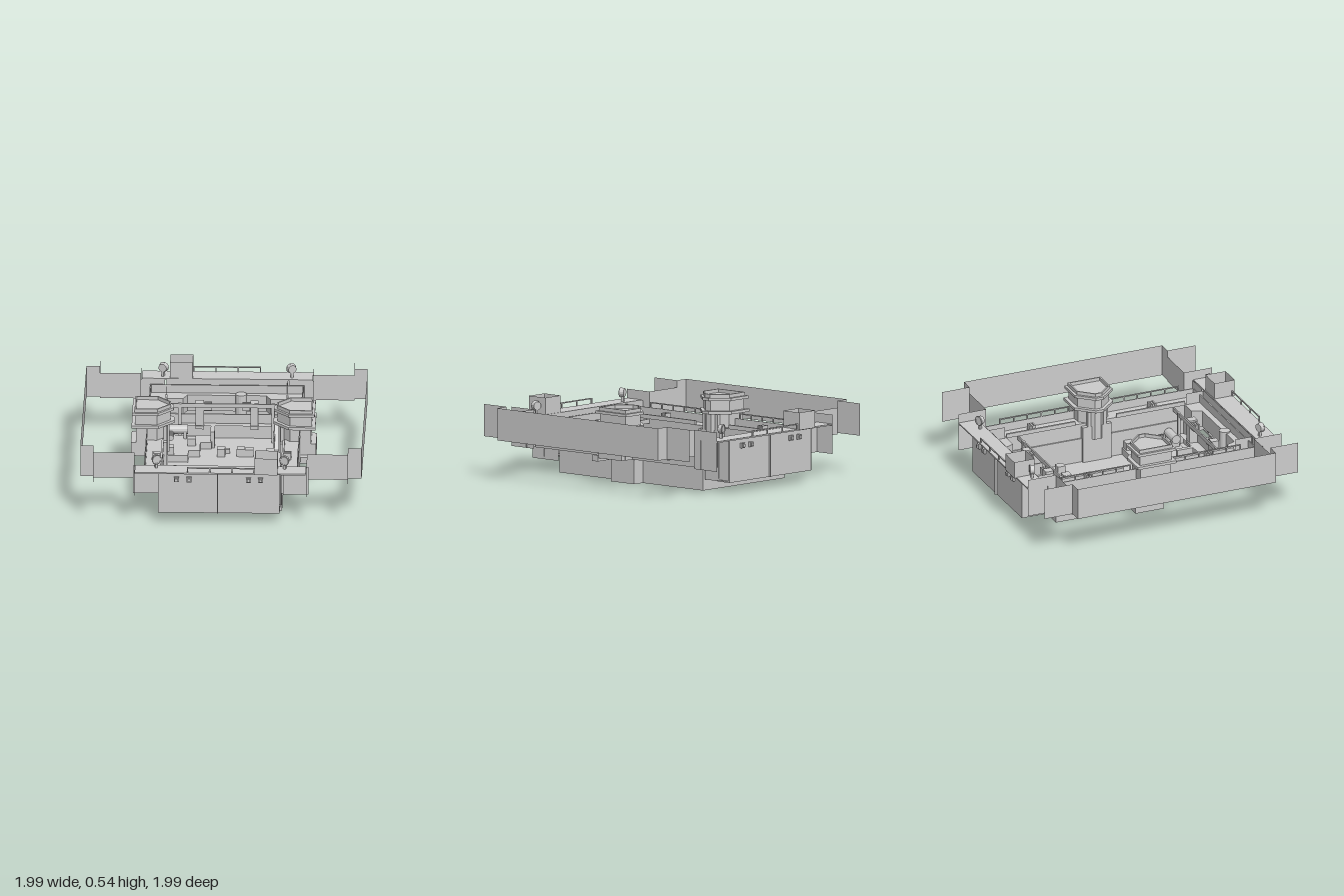
import * as THREE from 'three';

const mat = new THREE.MeshStandardMaterial({ color: 0xcccccc, flatShading: true, side: THREE.DoubleSide });

function add(parent, name, geo, x = 0, y = 0, z = 0) {
  const m = new THREE.Mesh(geo, mat);
  m.name = name;
  m.position.set(x, y, z);
  parent.add(m);
  return m;
}

// Box given by its limits on each axis
function box(parent, name, x0, x1, y0, y1, z0, z1) {
  return add(parent, name, new THREE.BoxGeometry(x1 - x0, y1 - y0, z1 - z0),
    (x0 + x1) / 2, (y0 + y1) / 2, (z0 + z1) / 2);
}

// Thin vertical sheets, along x or along z
function sheetX(parent, name, x0, x1, y0, y1, z) {
  return add(parent, name, new THREE.PlaneGeometry(x1 - x0, y1 - y0), (x0 + x1) / 2, (y0 + y1) / 2, z);
}
function sheetZ(parent, name, z0, z1, y0, y1, x) {
  const m = add(parent, name, new THREE.PlaneGeometry(z1 - z0, y1 - y0), x, (y0 + y1) / 2, (z0 + z1) / 2);
  m.rotation.y = Math.PI / 2;
  return m;
}

// Sloping sheet: height follows a rule along z, the far end narrowed by taper
function slope(parent, name, x0, x1, z0, z1, height, taper) {
  const geo = new THREE.PlaneGeometry(x1 - x0, z1 - z0, 1, 6);
  geo.rotateX(-Math.PI / 2);
  const p = geo.attributes.position;
  for (let i = 0; i < p.count; i++) {
    const t = p.getZ(i) / (z1 - z0) + 0.5;
    p.setX(i, p.getX(i) * (1 - taper * t));
    p.setY(i, height(t));
  }
  geo.computeVertexNormals();
  add(parent, name, geo, (x0 + x1) / 2, 0, (z0 + z1) / 2);
}

// Flat outline in x and z, raised from y0 to y1
function slab(parent, name, pts, y0, y1, hole) {
  const toV = p => new THREE.Vector2(p[0], -p[1]);
  const shape = new THREE.Shape(pts.map(toV));
  if (hole) shape.holes.push(new THREE.Path(hole.map(toV)));
  const geo = new THREE.ExtrudeGeometry(shape, { depth: y1 - y0, bevelEnabled: false });
  geo.rotateX(-Math.PI / 2);
  return add(parent, name, geo, 0, y0, 0);
}

// Posts with a top bar, along x or along z
function railing(parent, along, a0, a1, fixed, y0, y1, count) {
  const g = new THREE.Group();
  g.name = 'railing';
  parent.add(g);
  const t = 0.004;
  const bar = (b0, b1, ya, yb, n) => along === 'x'
    ? box(g, n, b0, b1, ya, yb, fixed - t, fixed + t)
    : box(g, n, fixed - t, fixed + t, ya, yb, b0, b1);
  bar(a0, a1, y1 - 0.008, y1, 'topRail');
  for (let i = 0; i <= count; i++) {
    const p = a0 + (a1 - a0) * i / count;
    bar(p - t, p + t, y0, y1, 'railPost');
  }
}

// Watchtower on the +x side
function tower(parent) {
  const g = new THREE.Group();
  g.name = 'watchtower';
  parent.add(g);
  const outline = s => [[0.65, -0.15], [0.46, -0.15], [0.35, -0.03], [0.35, 0.03], [0.46, 0.15], [0.65, 0.15]]
    .map(([x, z]) => [0.51 + (x - 0.51) * s, z * s]);
  box(g, 'towerStem', 0.4, 0.52, 0, 0.28, -0.11, 0.11);
  box(g, 'towerBody', 0.42, 0.655, 0.18, 0.28, -0.11, 0.11);
  box(g, 'towerFoot', 0.44, 0.655, 0.155, 0.2, 0.115, 0.17);
  slab(g, 'towerShaft', outline(0.78), 0.18, 0.4);
  slab(g, 'towerBalcony', outline(1), 0.4, 0.42);
  slab(g, 'towerCabin', outline(0.82), 0.42, 0.5);
  slab(g, 'towerEaves', outline(0.97), 0.495, 0.515);
  slab(g, 'roofRim', outline(0.85), 0.515, 0.54, outline(0.78));
  for (const z of [-0.06, 0.06]) box(g, 'towerPillar', 0.4, 0.425, 0.02, 0.4, z - 0.012, z + 0.012);
  box(g, 'towerDoor', 0.405, 0.42, 0.2, 0.3, -0.03, 0.03);
}

function searchlight(parent, x) {
  const g = new THREE.Group();
  g.name = 'searchlight';
  g.position.set(x, 0.46, 0.88);
  g.rotation.y = -Math.sign(x) * 0.35;
  parent.add(g);
  const drum = add(g, 'lampDrum', new THREE.CylinderGeometry(0.034, 0.03, 0.03, 14));
  drum.rotation.x = Math.PI / 2;
  add(g, 'lampRim', new THREE.TorusGeometry(0.032, 0.005, 5, 14), 0, 0, 0.015);
  box(g, 'lampStand', -0.008, 0.008, -0.07, -0.03, -0.01, 0.01);
}

// Gatehouse at the +z end
function gatehouse(parent) {
  const g = new THREE.Group();
  g.name = 'gatehouse';
  parent.add(g);
  box(g, 'gateWall', -0.44, 0.42, 0.08, 0.39, 0.93, 0.945);
  box(g, 'gateRoof', -0.605, 0.605, 0.385, 0.395, 0.835, 0.98);
  box(g, 'gateFloor', -0.44, 0.42, 0.08, 0.09, 0.83, 0.93);
  box(g, 'gateJoint', -0.024, -0.016, 0.08, 0.385, 0.945, 0.96);
  sheetX(g, 'innerGateWall', -0.43, 0.43, 0.1, 0.39, 0.83);
  for (const x of [-0.31, -0.22, 0.2, 0.285]) {
    box(g, 'windowFrame', x - 0.018, x + 0.018, 0.317, 0.353, 0.945, 0.962);
    box(g, 'windowPane', x - 0.011, x + 0.011, 0.324, 0.346, 0.962, 0.972);
  }
  for (const s of [-1, 1]) {
    sheetX(g, 'sideScreen', Math.min(s * 0.44, s * 0.62), Math.max(s * 0.44, s * 0.62), 0.18, 0.39, 0.83);
    sheetZ(g, 'endFin', 0.765, 0.98, 0.18, 0.46, s * 0.61);
    sheetZ(g, 'gateSide', 0.7, 0.945, 0.08, 0.385, s * 0.425);
    searchlight(g, s * 0.455);
  }
  // Lookout box on the roof edge
  box(g, 'lookoutFloor', 0.245, 0.405, 0.39, 0.405, 0.84, 0.995);
  for (const z of [0.84, 0.995]) sheetX(g, 'lookoutWall', 0.245, 0.405, 0.39, 0.515, z);
  for (const x of [0.245, 0.405]) sheetZ(g, 'lookoutWall', 0.84, 0.995, 0.39, 0.515, x);
  railing(g, 'x', -0.23, 0.24, 0.975, 0.39, 0.435, 3);
}

// Thin outer barrier on the +x side and its corner returns
function barrier(parent) {
  const g = new THREE.Group();
  g.name = 'outerBarrier';
  parent.add(g);
  sheetZ(g, 'longScreen', -0.765, 0.765, 0.28, 0.51, 0.995);
  for (const s of [-1, 1]) {
    sheetX(g, 'screenJog', 0.9, 0.995, 0.28, 0.51, s * 0.765);
    sheetX(g, 'screenReturn', 0.61, 0.9, 0.27, 0.46, s * 0.765);
    sheetZ(g, 'screenEnd', Math.min(s * 0.765, s * 0.98), Math.max(s * 0.765, s * 0.98), 0.28, 0.51, 0.9);
  }
}

// Ribbed vent stack
function vent(parent, x, y, z) {
  for (let i = 0; i < 3; i++) box(parent, 'ventFin', x - 0.028, x + 0.028, y, y + 0.05, z - 0.025 + i * 0.018, z - 0.014 + i * 0.018);
  box(parent, 'ventCore', x - 0.02, x + 0.02, y, y + 0.045, z - 0.022, z + 0.022);
}

// Everything in the +z half of the yard
function yard(parent) {
  const g = new THREE.Group();
  g.name = 'yardHalf';
  parent.add(g);
  slab(g, 'steppedTerrace', [[0.42, 0.2], [0.26, 0.2], [0.26, 0.3], [0.18, 0.3], [0.18, 0.46], [0.1, 0.46], [0.1, 0.6], [0.42, 0.6]], 0.01, 0.06);
  box(g, 'terraceWall', 0.08, 0.11, 0.01, 0.13, 0.48, 0.6);
  const crates = [[0.24, 0.415, 0.06], [0.03, 0.34, 0.01], [-0.11, 0.345, 0.01], [-0.17, 0.34, 0.01], [-0.32, 0.32, 0.01], [0.39, 0.24, 0.06]];
  for (const [x, z, y] of crates) box(g, 'crate', x - 0.029, x + 0.029, y, y + 0.055, z - 0.029, z + 0.029);
  box(g, 'smallCrate', -0.03, 0, 0.01, 0.04, 0.38, 0.41);
  // Machinery with a lying tank and a ribbed duct
  const tank = add(g, 'lyingTank', new THREE.CylinderGeometry(0.033, 0.033, 0.14, 14), 0.34, 0.12, 0.555);
  tank.rotation.z = Math.PI / 2;
  for (const x of [0.29, 0.39]) box(g, 'tankCradle', x - 0.01, x + 0.01, 0.06, 0.12, 0.525, 0.585);
  for (let i = 0; i < 5; i++) {
    const ring = add(g, 'ductRing', new THREE.CylinderGeometry(0.022, 0.022, 0.012, 10), 0.39, 0.1, 0.44 + i * 0.018);
    ring.rotation.x = Math.PI / 2;
  }
  // Stair ramp in the corner and the rounded apron of the gate bay
  slope(g, 'stairRamp', -0.425, -0.34, 0.45, 0.6, t => 0.01 + 0.16 * t, 0);
  box(g, 'stairCheek', -0.345, -0.335, 0.01, 0.1, 0.45, 0.6);
  slope(g, 'bayApron', -0.34, 0.34, 0.6, 0.76, t => 0.13 - 0.04 * t * t, 0.16);
  add(g, 'uprightTank', new THREE.CylinderGeometry(0.04, 0.04, 0.22, 16), -0.1, 0.2, 0.765);
  box(g, 'bayCrate', 0.16, 0.22, 0.1, 0.3, 0.61, 0.67);
  box(g, 'bayCrate', -0.225, -0.17, 0.1, 0.3, 0.61, 0.665);
  vent(g, 0.13, 0.24, 0.64);
  vent(g, -0.14, 0.24, 0.64);
  vent(g, 0.46, 0.3, 0.45);
  vent(g, -0.465, 0.3, 0.48);
  for (const s of [-1, 1]) box(g, 'bayPillar', s * 0.33 - 0.012, s * 0.33 + 0.012, 0.01, 0.3, 0.59, 0.61);
  box(g, 'bayLintel', -0.42, 0.42, 0.27, 0.3, 0.595, 0.605);
}

export function createModel() {
  const root = new THREE.Group();
  root.name = 'walledCompound';

  // Sunken floor and tub walls
  box(root, 'floor', -0.42, 0.42, 0, 0.01, -0.68, 0.68);
  const rect = (x, z) => [[-x, -z], [x, -z], [x, z], [-x, z]];
  slab(root, 'tubWall', rect(0.43, 0.685), 0, 0.19, rect(0.42, 0.675));

  // Raised walkway round the yard, with a bay at each gate
  const yardEdge = [];
  for (const s of [1, -1]) {
    for (const [x, z] of [[0.43, 0.69], [0.31, 0.69], [0.28, 0.76], [-0.28, 0.76], [-0.31, 0.69], [-0.43, 0.69]]) {
      yardEdge.push([x * s, z * s]);
    }
  }
  slab(root, 'walkway', rect(0.545, 0.81), 0.18, 0.3, yardEdge);
  slab(root, 'parapet', rect(0.545, 0.81), 0.3, 0.36, rect(0.537, 0.802));

  // Each half repeats after a half turn
  for (let i = 0; i < 2; i++) {
    const half = new THREE.Group();
    half.name = i ? 'backHalf' : 'frontHalf';
    half.rotation.y = i * Math.PI;
    root.add(half);
    tower(half);
    gatehouse(half);
    barrier(half);
    yard(half);
    for (const s of [-1, 1]) {
      const [z0, z1] = s > 0 ? [0.16, 0.69] : [-0.69, -0.16];
      box(half, 'innerCurb', 0.42, 0.435, 0.3, 0.33, z0, z1);
      railing(half, 'z', z0, z1, 0.54, 0.36, 0.4, 5);
    }
  }
  return root;
}
